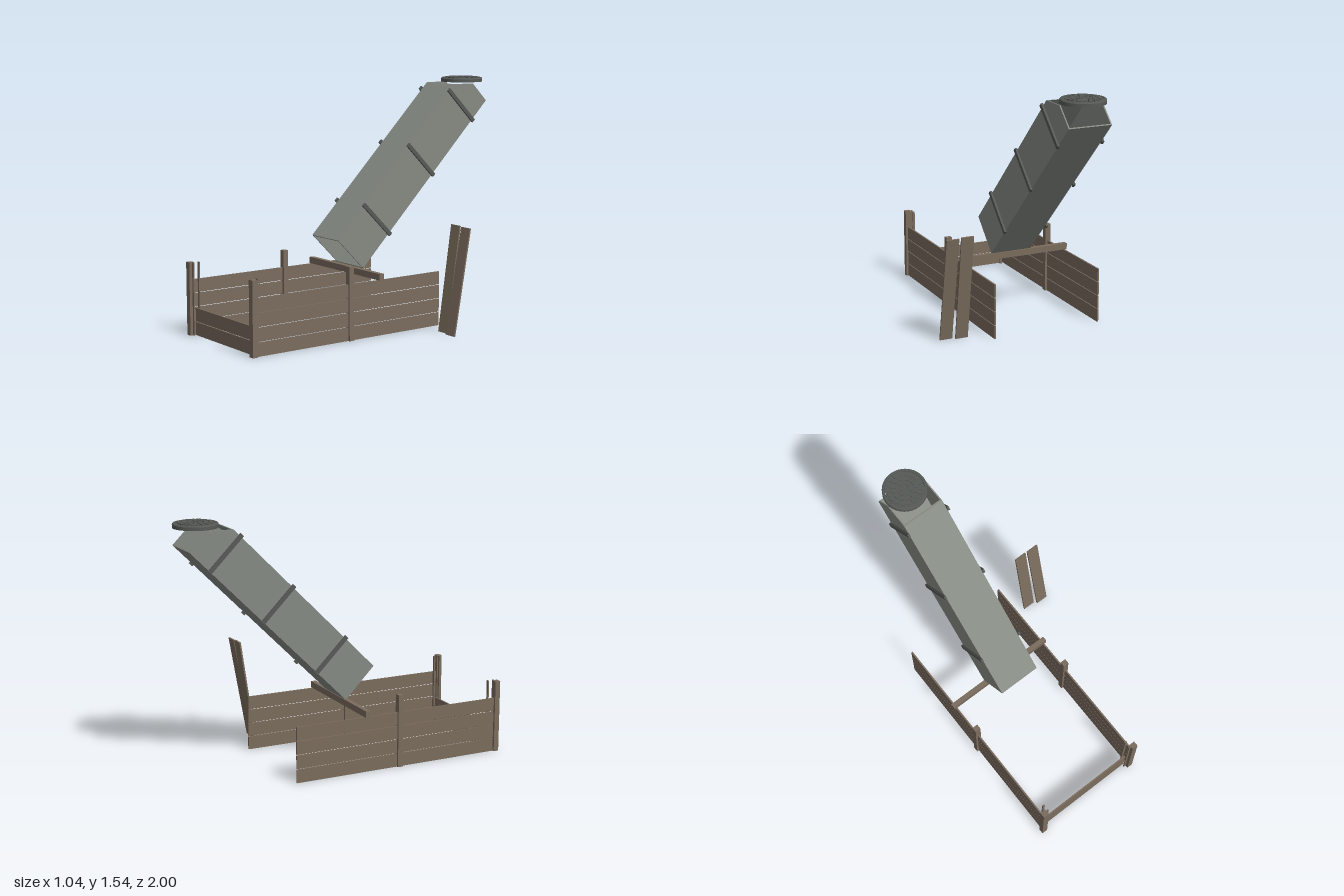
import * as THREE from 'three';

const wood = new THREE.MeshStandardMaterial({ color: 0x7a6c5d });
const steel = new THREE.MeshStandardMaterial({ color: 0x858a82, side: THREE.DoubleSide });
const iron = new THREE.MeshStandardMaterial({ color: 0x565a56 });

const MID = -0.149;      // centre line of the bin
const CHUTE_X = -0.121;  // centre line of the chute

function add(parent, name, geometry, material, x = 0, y = 0, z = 0) {
  const mesh = new THREE.Mesh(geometry, material);
  mesh.name = name;
  mesh.position.set(x, y, z);
  parent.add(mesh);
  return mesh;
}

// box given by its limits on each axis
function boxBetween(parent, name, material, [x0, x1], [y0, y1], [z0, z1]) {
  return add(parent, name, new THREE.BoxGeometry(x1 - x0, y1 - y0, z1 - z0), material,
    (x0 + x1) / 2, (y0 + y1) / 2, (z0 + z1) / 2);
}

// outline in (z, y), extruded along x and centred on it
function slab(outline, width) {
  const shape = new THREE.Shape(outline.map(([z, y]) => new THREE.Vector2(z, y)));
  return new THREE.ExtrudeGeometry(shape, { depth: width, bevelEnabled: false })
    .translate(0, 0, -width / 2).rotateY(-Math.PI / 2);
}

function createBin() {
  const bin = new THREE.Group();
  bin.name = 'bin';
  const rows = [0, 0.088, 0.176, 0.264];
  for (const s of [-1, 1]) {
    const x = MID + s * 0.355;
    for (const y of rows)
      boxBetween(bin, 'sideBoard', wood, [x - 0.005, x + 0.005], [y, y + 0.083], [-0.405, 0.968]);
    for (const z of [0.983, 0.29])
      boxBetween(bin, 'post', wood, [x - 0.019, x + 0.019], [0, 0.457], [z - 0.017, z + 0.017]);
    // strips that hold the sliding front boards
    const gx = MID + s * 0.329;
    for (const z of [0.938, 0.977])
      boxBetween(bin, 'guideStrip', wood, [gx - 0.008, gx + 0.008], [0, 0.457], [z - 0.004, z + 0.004]);
  }
  for (const y of rows.slice(0, 2))
    boxBetween(bin, 'frontBoard', wood, [MID - 0.333, MID + 0.333], [y, y + 0.083], [0.952, 0.962]);
  boxBetween(bin, 'crossBeam', wood, [MID - 0.374, MID + 0.374], [0.347, 0.387], [0.047, 0.079]);
  return bin;
}

function createChute() {
  const chute = new THREE.Group();
  chute.name = 'chute';
  const width = 0.276, t = 0.008, d = t / Math.SQRT2;
  // side walls carry the cut at the upper end
  const side = [[0.24, 0.583], [0.048, 0.39], [-0.957, 1.392], [-0.842, 1.507], [-0.684, 1.507]];
  for (const s of [-1, 1])
    add(chute, 'chuteSide', slab(side, t), steel, CHUTE_X + s * (width - t) / 2);
  const inner = width - 2 * t;
  add(chute, 'chuteTop', slab([[0.24, 0.583], [0.24 - d, 0.583 - d], [-0.684 - 2 * d, 1.507], [-0.684, 1.507]], inner),
    steel, CHUTE_X);
  add(chute, 'chuteFloor', slab([[0.048, 0.39], [-0.957, 1.392], [-0.957 + d, 1.392 + d], [0.048 + d, 0.39 + d]], inner),
    steel, CHUTE_X);
  // stiffening bars on both flanks
  for (const step of [0.2, 0.55, 0.882])
    for (const s of [-1, 1]) {
      const bar = add(chute, 'sideBar', new THREE.BoxGeometry(0.014, 0.297, 0.025), iron,
        CHUTE_X + s * (width / 2 + 0.006), 0.487 + step, 0.144 - step);
      bar.rotation.x = Math.PI / 4;
    }
  return chute;
}

function createCover() {
  const cover = new THREE.Group();
  cover.name = 'cover';
  cover.position.set(CHUTE_X, 1.513, -0.865);
  // outer frame ring
  const ring = [[0.118, 0], [0.135, 0], [0.135, 0.02], [0.13, 0.027], [0.118, 0.027], [0.118, 0]];
  add(cover, 'coverFrame', new THREE.LatheGeometry(ring.map(p => new THREE.Vector2(...p)), 48),
    new THREE.MeshStandardMaterial({ color: 0x565a56, flatShading: true, side: THREE.DoubleSide }));
  add(cover, 'coverPlate', new THREE.CylinderGeometry(0.116, 0.116, 0.023, 48), iron, 0, 0.0135, 0);
  // raised grip pattern in concentric rings
  for (const [r0, r1, count] of [[0.026, 0.046, 6], [0.054, 0.076, 12], [0.084, 0.106, 18]])
    for (let i = 0; i < count; i++) {
      const a = i / count * Math.PI * 2, b = a + Math.PI * 2 / count * 0.75;
      const pad = new THREE.Shape();
      pad.absarc(0, 0, r1, a, b, false);
      pad.absarc(0, 0, r0, b, a, true);
      const geometry = new THREE.ExtrudeGeometry(pad, { depth: 0.007, bevelEnabled: false, curveSegments: 4 });
      add(cover, 'gripPad', geometry.rotateX(-Math.PI / 2), iron, 0, 0.025, 0);
    }
  add(cover, 'liftBar', new THREE.BoxGeometry(0.045, 0.006, 0.01), iron, 0, 0.028, 0);
  return cover;
}

function createLoosePlanks() {
  const planks = new THREE.Group();
  planks.name = 'loosePlanks';
  // leaning boards: x centre, foot z, top height
  for (const [x, z, h] of [[0.382, -0.292, 0.667], [0.477, -0.272, 0.662]])
    add(planks, 'loosePlank', slab([[z, 0], [z - 0.01, 0], [-0.401, h - 0.002], [-0.391, h]], 0.081), wood, x);
  return planks;
}

export function createModel() {
  const model = new THREE.Group();
  model.name = 'chuteAndBin';
  model.add(createBin(), createChute(), createCover(), createLoosePlanks());
  // slab outlines run either way round, so show both faces
  wood.side = THREE.DoubleSide;
  return model;
}
